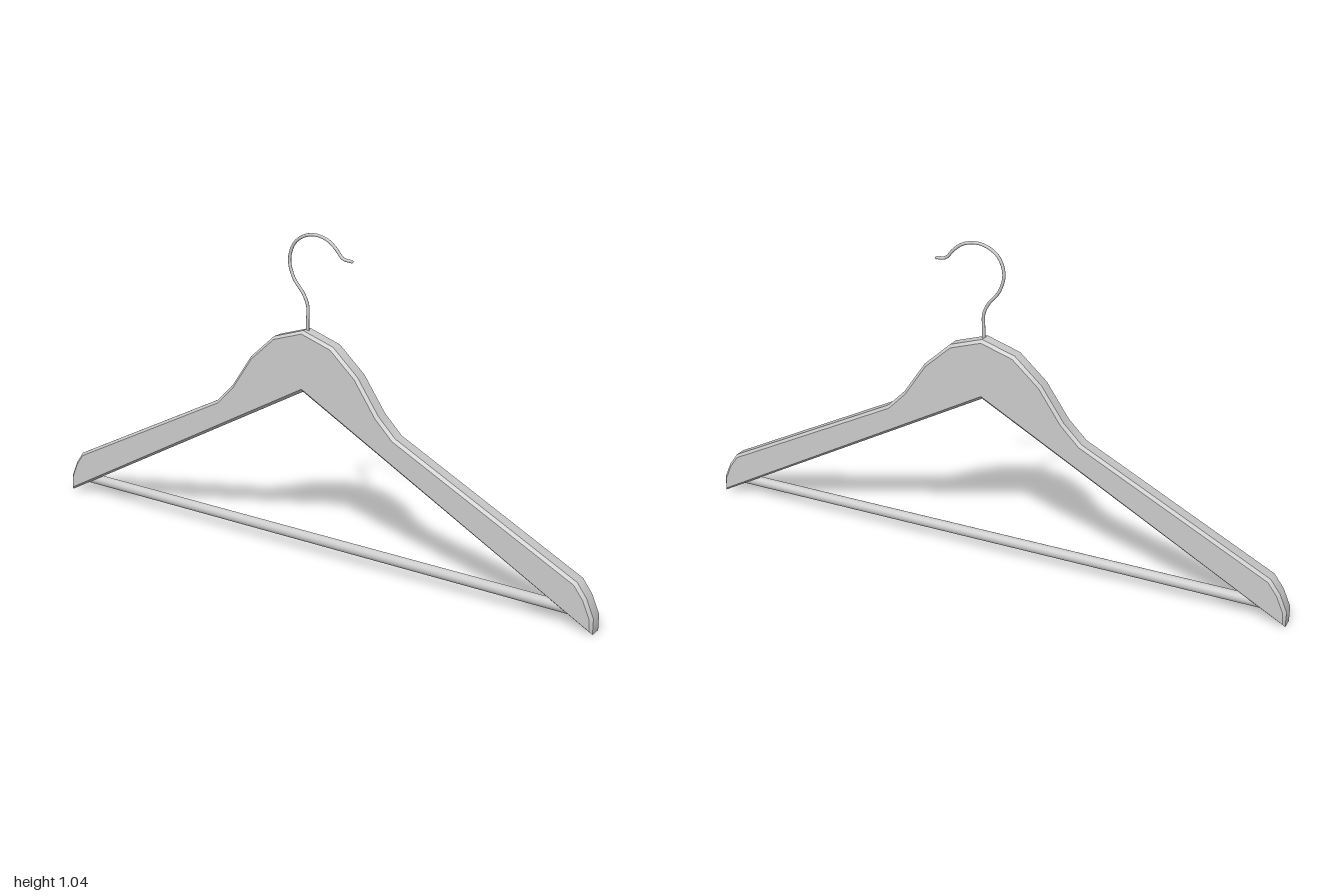
import * as THREE from 'three';
import { toCreasedNormals } from 'three/addons/utils/BufferGeometryUtils.js';

const material = new THREE.MeshStandardMaterial({ color: 0xcccccc });

function addMesh(group, name, geometry) {
  const mesh = new THREE.Mesh(geometry, material);
  mesh.name = name;
  group.add(mesh);
  return mesh;
}

export function createModel() {
  const group = new THREE.Group();
  group.name = 'coatHanger';

  // Wooden body: one half of the outline as [z, y], mirrored about z = 0
  const half = [
    [0.11, 0.70], [0.2, 0.62], [0.275, 0.512], [0.335, 0.453],
    [0.945, 0.147], [0.976, 0.105], [1, 0.05], [1, 0],
  ];
  const mirrored = half.map(([z, y]) => [-z, y]);
  const outline = [[0, 0.735], ...mirrored, [0, 0.54], ...half.slice().reverse()];
  const shape = new THREE.Shape(outline.map(([z, y]) => new THREE.Vector2(z, y)));

  const thickness = 0.056, bevel = 0.009;
  const body = new THREE.ExtrudeGeometry(shape, {
    depth: thickness - 2 * bevel,
    bevelThickness: bevel,
    bevelSize: bevel,
    bevelOffset: -bevel,
    bevelSegments: 1,
  });
  body.translate(0, 0, bevel - thickness / 2);
  body.rotateY(-Math.PI / 2);
  addMesh(group, 'shoulderBody', toCreasedNormals(body, 0.6));

  // Trouser bar, its ends sunk into the arms
  const bar = new THREE.CylinderGeometry(0.017, 0.017, 1.88, 20);
  bar.rotateX(Math.PI / 2);
  addMesh(group, 'trouserBar', bar).position.y = 0.052;

  // Wire hook, opening towards the front
  const path = new THREE.CatmullRomCurve3([
    [0.004, 0.70], [0.004, 0.76], [0.004, 0.81], [-0.012, 0.845], [-0.048, 0.89],
    [-0.063, 0.945], [-0.046, 0.995], [-0.01, 1.022], [0.032, 1.03],
    [0.075, 1.02], [0.105, 0.998], [0.132, 0.97], [0.163, 0.965],
  ].map(([z, y]) => new THREE.Vector3(0, y, z)));
  addMesh(group, 'hook', new THREE.TubeGeometry(path, 80, 0.005, 10));

  // Rounded hook tip
  addMesh(group, 'hookTip', new THREE.SphereGeometry(0.005, 10, 8)).position.set(0, 0.965, 0.163);

  return group;
}
